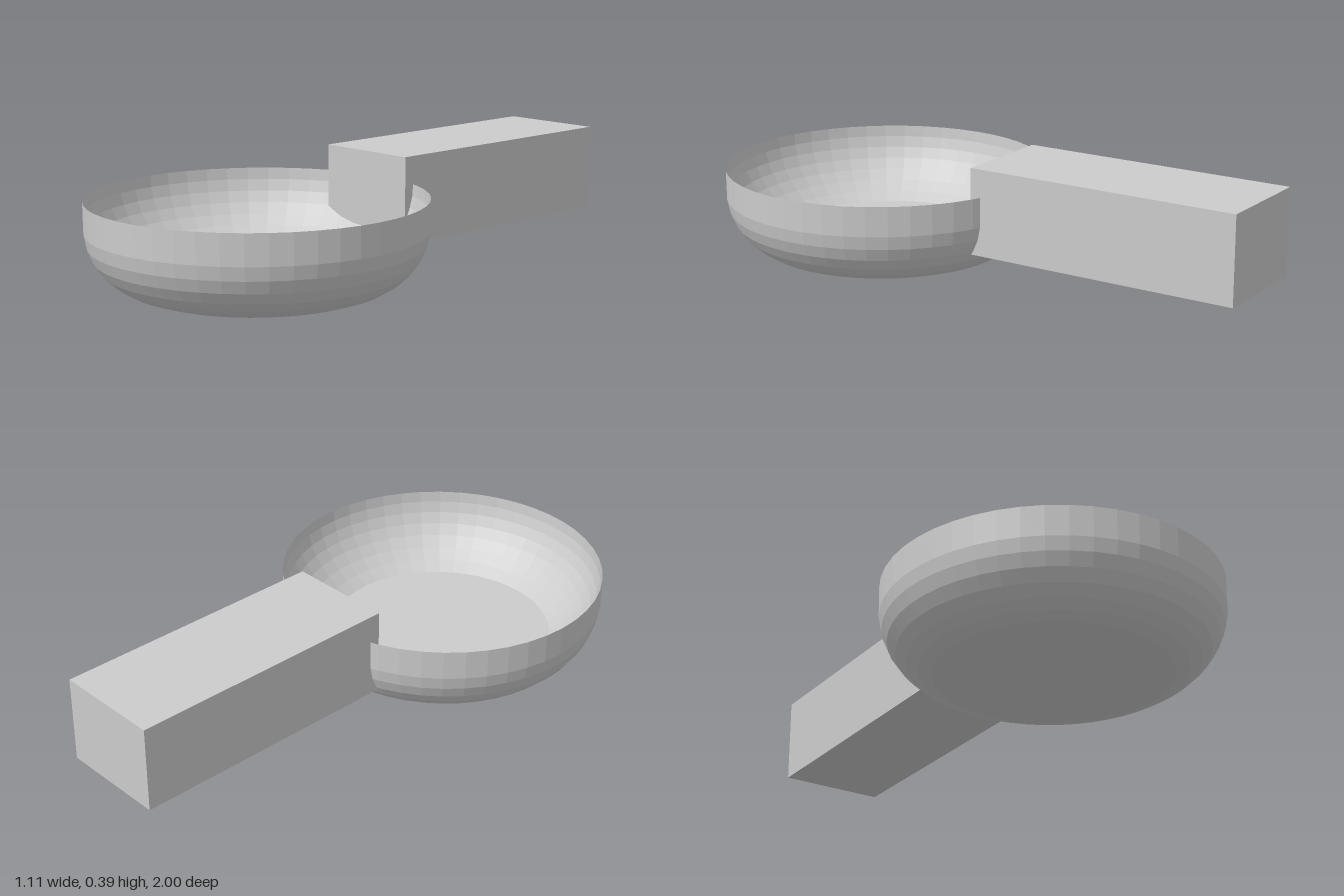
import * as THREE from 'three';

export function createModel() {
  const group = new THREE.Group();
  group.name = 'pan';
  const material = new THREE.MeshStandardMaterial({ color: 0xcccccc, flatShading: true });

  // Point on an elliptical arc below its centre, at an angle down from the horizontal
  const arcPoint = (cx, cy, rx, ry, a) => new THREE.Vector2(cx + rx * Math.cos(a), cy - ry * Math.sin(a));

  // Bowl: flat base, rounded outer wall, knife-edge rim, shallower hollow inside
  const radius = 0.555, rim = 0.297, steps = 7;
  const profile = [new THREE.Vector2(0, 0)];
  for (let i = 0; i <= steps; i++) {
    const a = THREE.MathUtils.degToRad(77 - 12 * i);
    profile.push(i < steps ? arcPoint(0.335, 0.2145, 0.22, 0.22, a) : new THREE.Vector2(radius, rim));
  }
  for (let i = 1; i <= steps; i++) {
    profile.push(arcPoint(0, rim, radius, 0.343, 0.804 * i / steps));
  }
  profile.push(new THREE.Vector2(0, 0.05));
  const bowl = new THREE.Mesh(new THREE.LatheGeometry(profile, 48), material);
  bowl.name = 'bowl';
  bowl.position.z = 0.445;
  group.add(bowl);

  // Block handle running back from the bowl and poking through its wall
  const handle = new THREE.Mesh(new THREE.BoxGeometry(0.37, 0.295, 0.96), material);
  handle.name = 'handle';
  handle.position.set(0, 0.245, -0.52);
  group.add(handle);

  return group;
}
